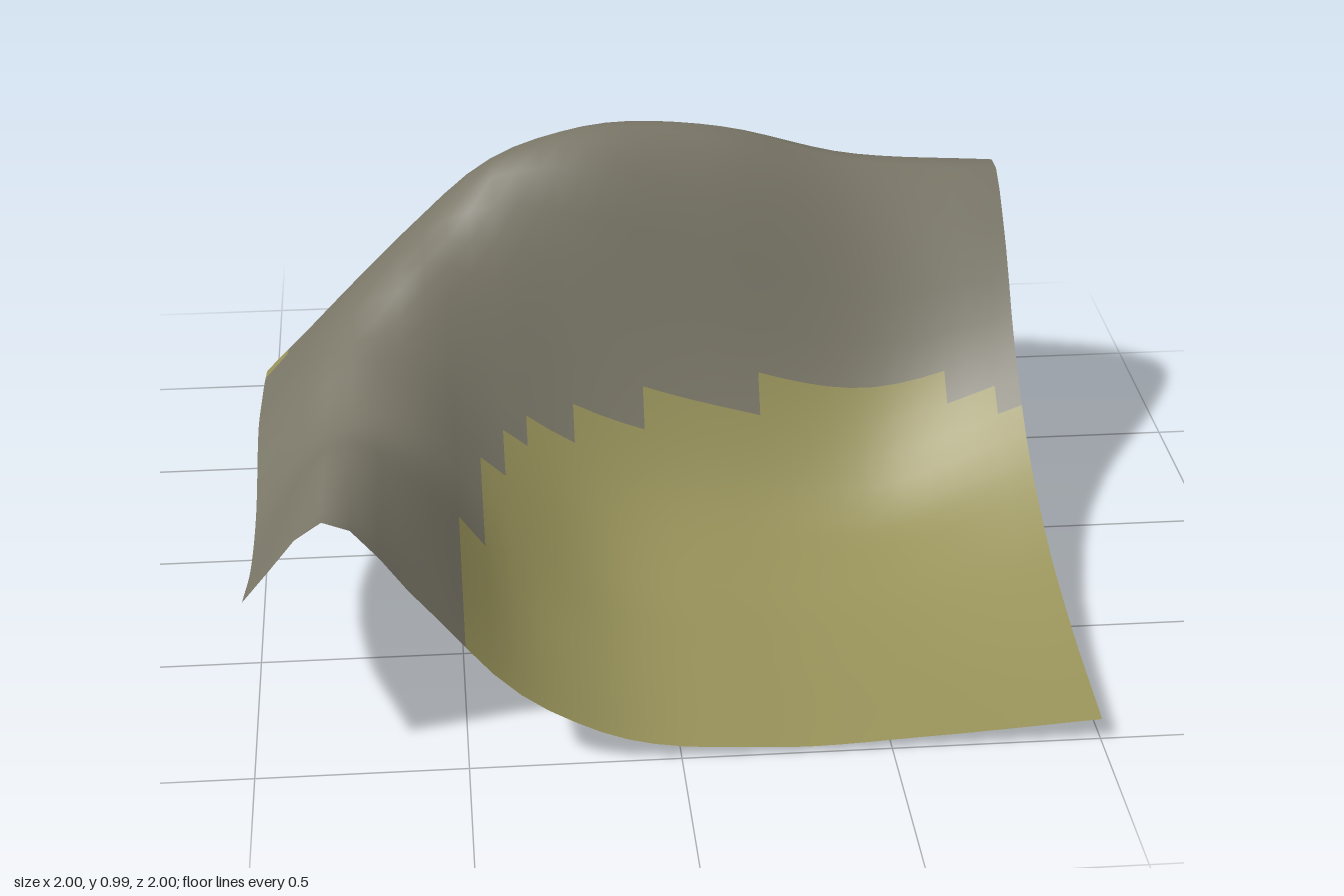
import * as THREE from 'three';

const CELLS = 32;
const SIZE = 2;
const ROCK_LINE = 0.35; // cells higher than this are rock, the rest grass

// Hill profiles: heights at the xs stations, one row per z station, back to front
const xs = [-1, -0.8, -0.6, -0.4, -0.2, 0.2, 0.6, 1];
const profiles = [
  { z: -1.0, h: [0, 0.065, 0.14, 0.185, 0.195, 0.205, 0.24, 0.31] },
  { z: -0.8, h: [0.12, 0.3, 0.43, 0.56, 0.64, 0.68, 0.65, 0.64] },
  { z: -0.6, h: [0.255, 0.455, 0.65, 0.82, 0.92, 0.95, 0.845, 0.81] },
  { z: -0.4, h: [0.32, 0.55, 0.75, 0.91, 0.955, 0.87, 0.71, 0.68] },
  { z: -0.2, h: [0.36, 0.61, 0.755, 0.72, 0.62, 0.46, 0.36, 0.455] },
  { z: 0.0, h: [0.39, 0.61, 0.615, 0.465, 0.32, 0.18, 0.145, 0.295] },
  { z: 0.3, h: [0.32, 0.545, 0.51, 0.31, 0.15, 0.05, 0.055, 0.16] },
  { z: 0.6, h: [0.345, 0.635, 0.52, 0.25, 0.11, 0.025, 0.03, 0.095] },
  { z: 1.0, h: [0.48, 0.68, 0.46, 0.22, 0.09, 0.02, 0.03, 0.055] },
];
const zs = profiles.map((p) => p.z);

// Smooth cubic curve through unevenly spaced knots
function curveAt(knots, values, t) {
  const last = knots.length - 1;
  let i = 0;
  while (i < last - 1 && t > knots[i + 1]) i++;
  const step = (k) => (values[k + 1] - values[k]) / (knots[k + 1] - knots[k]);
  const slope = (k) => {
    if (k === 0) return step(0);
    if (k === last) return step(last - 1);
    const before = knots[k] - knots[k - 1];
    const after = knots[k + 1] - knots[k];
    return (step(k - 1) * after + step(k) * before) / (before + after);
  };
  const w = knots[i + 1] - knots[i];
  const u = (t - knots[i]) / w;
  const v = 1 - u;
  return values[i] * (1 + 2 * u) * v * v + values[i + 1] * u * u * (3 - 2 * u)
    + w * u * v * (slope(i) * v - slope(i + 1) * u);
}

function heightAt(x, z) {
  const column = profiles.map((p) => curveAt(xs, p.h, x));
  return Math.max(0, curveAt(zs, column, z));
}

export function createModel() {
  const rock = new THREE.MeshStandardMaterial({ color: 0x7a7768, side: THREE.DoubleSide });
  rock.name = 'rock grey';
  const grass = new THREE.MeshStandardMaterial({ color: 0x98925a, side: THREE.DoubleSide });
  grass.name = 'dry grass olive';

  // Flat sheet raised into hills
  const geometry = new THREE.PlaneGeometry(SIZE, SIZE, CELLS, CELLS).rotateX(-Math.PI / 2);
  const pos = geometry.attributes.position;
  for (let i = 0; i < pos.count; i++) pos.setY(i, heightAt(pos.getX(i), pos.getZ(i)));
  geometry.computeVertexNormals();

  // Sort the square cells into rock and grass by their mean height
  const index = Array.from(geometry.index.array);
  const rockFaces = [];
  const grassFaces = [];
  for (let c = 0; c < index.length; c += 6) {
    const cell = index.slice(c, c + 6);
    const corners = [...new Set(cell)];
    const mean = corners.reduce((sum, k) => sum + pos.getY(k), 0) / corners.length;
    (mean > ROCK_LINE ? rockFaces : grassFaces).push(...cell);
  }
  geometry.setIndex([...rockFaces, ...grassFaces]);
  geometry.clearGroups();
  geometry.addGroup(0, rockFaces.length, 0);
  geometry.addGroup(rockFaces.length, grassFaces.length, 1);

  const terrain = new THREE.Mesh(geometry, [rock, grass]);
  terrain.name = 'terrain';
  const model = new THREE.Group();
  model.name = 'hillTerrain';
  model.add(terrain);
  return model;
}
